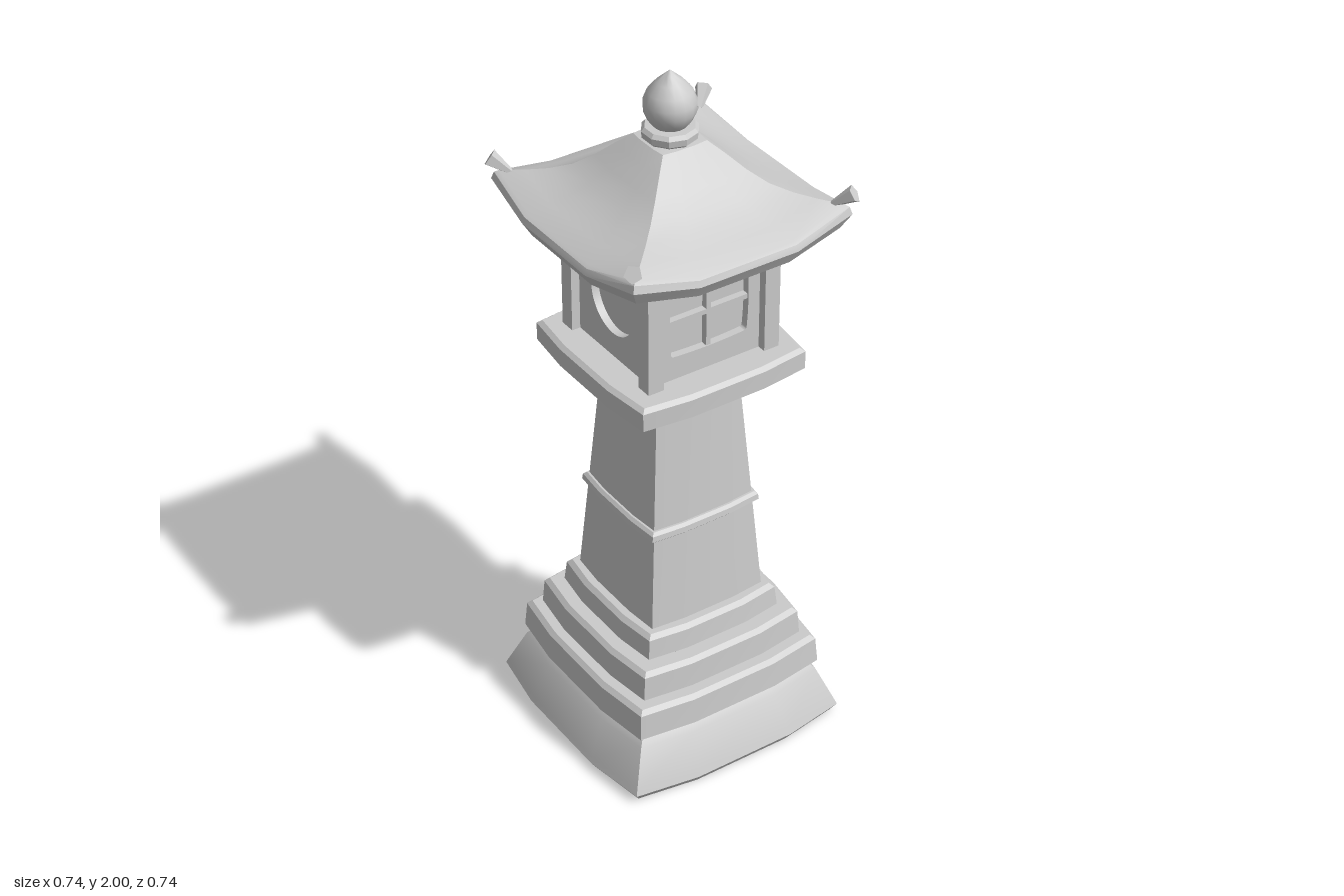
import * as THREE from 'three';
import { toCreasedNormals } from 'three/addons/utils/BufferGeometryUtils.js';

const stone = new THREE.MeshStandardMaterial({ color: 0xcccccc, side: THREE.DoubleSide });

function add(parent, name, geometry, crease = 0.5) {
  const mesh = new THREE.Mesh(crease ? toCreasedNormals(geometry, crease) : geometry, stone);
  mesh.name = name;
  parent.add(mesh);
  return mesh;
}

// Stack of bowed squares. Each ring: [y, half width, corner lift]; corner = corner inset factor.
function loft(rings, corner) {
  const pos = [], index = [];
  for (const [y, r, lift = 0] of rings) {
    for (let s = 0; s < 4; s++) {
      const c = Math.round(Math.cos(s * Math.PI / 2)), n = Math.round(Math.sin(s * Math.PI / 2));
      for (const [u, v, k] of [[corner, -corner, 1], [1, -0.42, 0], [1, 0.42, 0]]) {
        pos.push(r * (u * c - v * n), y + lift * k, r * (u * n + v * c));
      }
    }
  }
  for (let j = 0; j < rings.length - 1; j++) {
    for (let i = 0; i < 12; i++) {
      const a = j * 12 + i, b = j * 12 + (i + 1) % 12;
      index.push(a, a + 12, b, b, a + 12, b + 12);
    }
  }
  const g = new THREE.BufferGeometry();
  g.setAttribute('position', new THREE.Float32BufferAttribute(pos, 3));
  g.setIndex(index);
  return g;
}

// Chamfered block between two heights
function slab(y0, y1, r0, r1, corner = 0.93, e = 0.012) {
  return loft([[y0, 0], [y0, r0 - e], [y0 + e, r0], [y1 - e, r1], [y1, r1 - e], [y1, 0]], corner);
}

// Window outline with slightly bulging sides
function windowHole(w, h) {
  const p = new THREE.Path();
  const b = 0.008, k = 0.9;
  p.moveTo(-w * k, -h);
  p.quadraticCurveTo(0, -h - b, w * k, -h);
  p.quadraticCurveTo(w, -h, w, -h * k);
  p.quadraticCurveTo(w + b, 0, w, h * k);
  p.quadraticCurveTo(w, h, w * k, h);
  p.quadraticCurveTo(0, h + b, -w * k, h);
  p.quadraticCurveTo(-w, h, -w, h * k);
  p.quadraticCurveTo(-w - b, 0, -w, -h * k);
  p.quadraticCurveTo(-w, -h, -w * k, -h);
  return p;
}

function wallPanel(hole) {
  const s = new THREE.Shape();
  s.moveTo(-0.175, -0.18);
  s.lineTo(0.175, -0.18);
  s.lineTo(0.175, 0.18);
  s.lineTo(-0.175, 0.18);
  s.closePath();
  s.holes.push(hole);
  return new THREE.ExtrudeGeometry(s, { depth: 0.025, bevelEnabled: false, curveSegments: 24 });
}

export function createModel() {
  const model = new THREE.Group();
  model.name = 'stoneLantern';

  // Stepped base
  add(model, 'foot', loft([[0.012, 0], [0, 0.352], [0.025, 0.368], [0.04, 0.362],
    [0.145, 0.318], [0.165, 0.3], [0.17, 0]], 0.92));
  add(model, 'lowerStep', slab(0.165, 0.265, 0.318, 0.312));
  add(model, 'middleStep', slab(0.26, 0.355, 0.277, 0.272));
  add(model, 'upperStep', slab(0.35, 0.432, 0.228, 0.222));

  // Tapered shaft and its band
  add(model, 'shaft', loft([[0.42, 0.19], [1.1, 0.138]], 0.95));
  add(model, 'shaftBand', slab(0.71, 0.742, 0.181, 0.179, 0.95, 0.008));

  // Platform below the light chamber
  add(model, 'platform', loft([[1.09, 0], [1.09, 0.14], [1.15, 0.255], [1.16, 0.268],
    [1.212, 0.268], [1.222, 0.256], [1.222, 0]], 0.94));

  // Light chamber: core, pierced walls, corner posts
  const chamber = new THREE.Group();
  chamber.name = 'lightChamber';
  chamber.position.y = 1.39;
  model.add(chamber);
  add(chamber, 'core', new THREE.BoxGeometry(0.31, 0.36, 0.31));
  for (let i = 0; i < 4; i++) {
    const side = new THREE.Group();
    side.name = i % 2 ? 'roundWindowSide' : 'paneWindowSide';
    side.rotation.y = i * Math.PI / 2;
    chamber.add(side);
    const round = new THREE.Path().absarc(0, 0, 0.098, 0, Math.PI * 2, true);
    add(side, 'wall', wallPanel(i % 2 ? round : windowHole(0.117, 0.1))).position.z = 0.152;
    if (i % 2 === 0) {
      add(side, 'verticalBar', new THREE.BoxGeometry(0.014, 0.21, 0.02)).position.z = 0.164;
      add(side, 'horizontalBar', new THREE.BoxGeometry(0.24, 0.014, 0.02)).position.z = 0.164;
    }
    add(side, 'cornerPost', new THREE.BoxGeometry(0.046, 0.36, 0.046)).position.set(0.179, 0, 0.179);
  }

  // Sweeping roof with raised corners
  add(model, 'roof', loft([[1.56, 0], [1.556, 0.2], [1.566, 0.325, 0.03], [1.605, 0.348, 0.035],
    [1.622, 0.342, 0.038], [1.628, 0.332, 0.038], [1.65, 0.28, 0.025], [1.673, 0.235, 0.013],
    [1.702, 0.188, 0.004], [1.74, 0.145], [1.78, 0.105], [1.812, 0.07], [1.82, 0]], 0.94), 0.6);

  // Small upturned horns on the roof corners
  for (let i = 0; i < 4; i++) {
    const arm = new THREE.Group();
    arm.name = 'cornerHorn';
    arm.rotation.y = Math.PI / 4 + i * Math.PI / 2;
    model.add(arm);
    const horn = add(arm, 'horn', new THREE.CylinderGeometry(0.024, 0.008, 0.065, 5), 0.3);
    horn.position.set(0, 1.682, 0.438);
    horn.rotation.x = 1.0;
  }

  // Finial: ten-sided collar and a pointed bud
  const lathe = (pts, n) => new THREE.LatheGeometry(pts.map(p => new THREE.Vector2(...p)), n);
  add(model, 'finialCollar', lathe([[0, 1.808], [0.06, 1.808], [0.073, 1.82], [0.075, 1.838],
    [0.066, 1.848], [0, 1.85]], 10), 0.4);
  add(model, 'finialBud', lathe([[0.04, 1.845], [0.057, 1.865], [0.068, 1.89], [0.069, 1.915],
    [0.058, 1.943], [0.036, 1.968], [0.016, 1.986], [0, 2]], 16), 0.8);
  return model;
}
